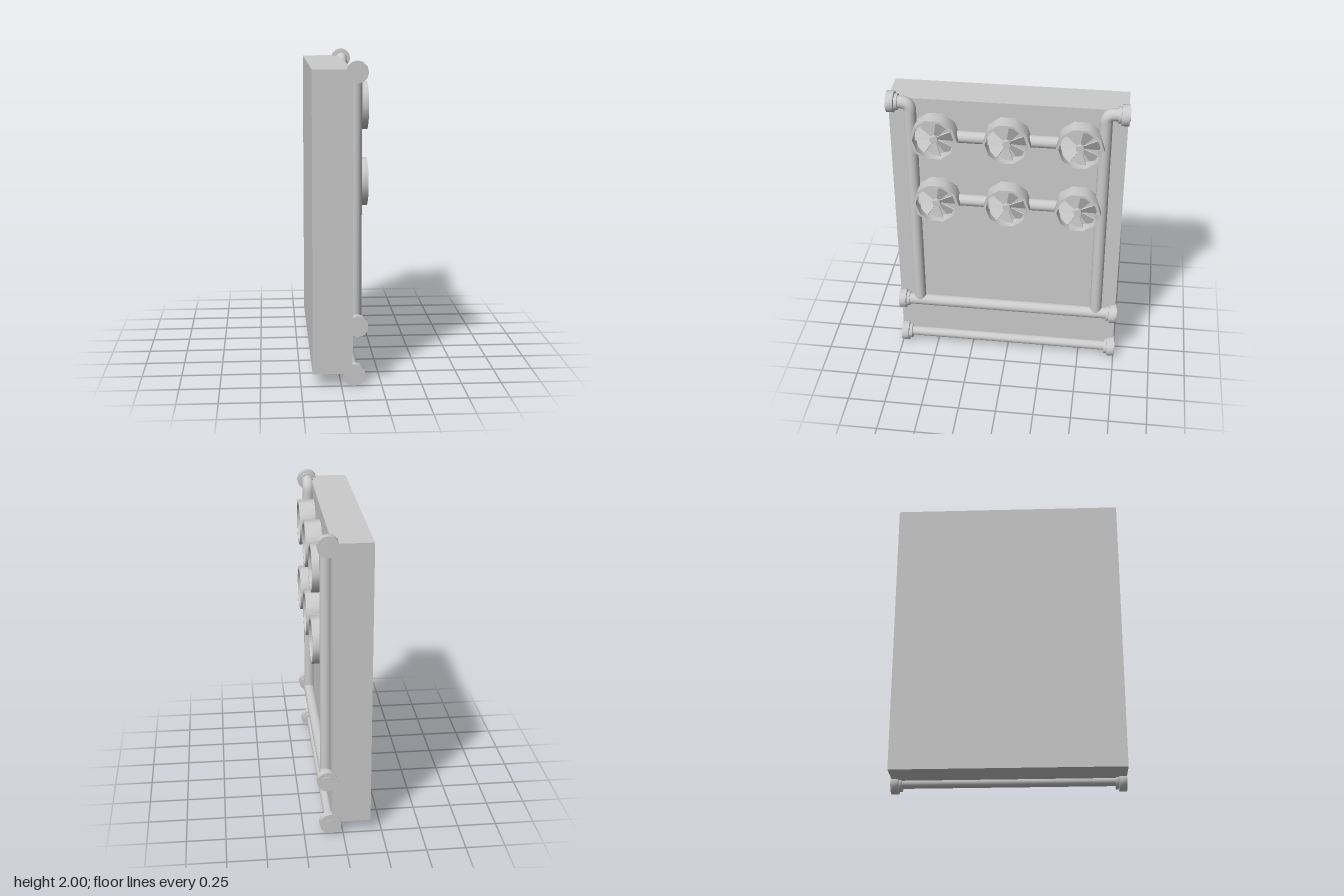
import * as THREE from 'three';
import { toCreasedNormals } from 'three/addons/utils/BufferGeometryUtils.js';

const material = new THREE.MeshStandardMaterial({ color: 0xcccccc });
const bladeMaterial = new THREE.MeshStandardMaterial({ color: 0xcccccc, side: THREE.DoubleSide });

function add(parent, name, geometry, mat = material) {
  const mesh = new THREE.Mesh(geometry, mat);
  mesh.name = name;
  parent.add(mesh);
  return mesh;
}

// straight pipe between two points
function pipe(parent, name, a, b, radius) {
  const mesh = add(parent, name, new THREE.CylinderGeometry(radius, radius, a.distanceTo(b), 14));
  mesh.position.copy(a).add(b).multiplyScalar(0.5);
  mesh.quaternion.setFromUnitVectors(new THREE.Vector3(0, 1, 0), b.clone().sub(a).normalize());
  return mesh;
}

// lathe with sharp profile corners and a smooth round surface
function turned(points, sides) {
  const profile = points.map(([r, h]) => new THREE.Vector2(r, h));
  return toCreasedNormals(new THREE.LatheGeometry(profile, sides), 0.75);
}

// stepped pipe end; side is +1 or -1 along z
function flange(parent, x, y, side, radius = 0.067) {
  const collar = radius * 0.78;
  const mesh = add(parent, 'pipeFlange', turned([
    [0, 0], [collar, 0], [collar, 0.02], [radius, 0.022], [radius, 0.07], [0, 0.07]], 12));
  mesh.rotation.x = side * Math.PI / 2;
  mesh.position.set(x, y, side * 0.682);
}

// fan in an open ten-sided drum, facing +x
function fan(parent, y, z) {
  const group = new THREE.Group();
  group.name = 'fan';
  add(group, 'fanHousing', turned([
    [0.151, 0], [0.151, 0.11], [0.134, 0.11], [0.134, 0.03], [0, 0.03]], 10));
  const hub = add(group, 'fanHub', new THREE.CylinderGeometry(0.026, 0.03, 0.07, 8));
  hub.position.y = 0.062;

  // pitched blade, widening outwards
  const shape = new THREE.Shape();
  shape.moveTo(0.02, -0.012);
  shape.lineTo(0.112, -0.052);
  shape.lineTo(0.127, -0.01);
  shape.lineTo(0.112, 0.045);
  shape.lineTo(0.02, 0.014);
  shape.closePath();
  const blade = new THREE.ExtrudeGeometry(shape, { depth: 0.006, bevelEnabled: false });
  blade.rotateX(-Math.PI / 2 + 0.45);
  const count = 7;
  for (let i = 0; i < count; i++) {
    const mesh = add(group, 'fanBlade', blade, bladeMaterial);
    mesh.position.y = 0.066;
    mesh.rotation.y = (i / count) * Math.PI * 2;
  }
  // drum axis towards +x, corners towards +z and -z
  group.rotation.z = -Math.PI / 2;
  group.position.set(0.065, y, z);
  parent.add(group);
}

export function createModel() {
  const model = new THREE.Group();
  model.name = 'wallPanelWithPipes';
  const v = (x, y, z) => new THREE.Vector3(x, y, z);

  // wall slab
  const wall = add(model, 'wall', new THREE.BoxGeometry(0.247, 1.87, 1.495));
  wall.position.set(-0.0545, 1.015, 0.003);

  // two horizontal pipes at the bottom
  for (const [x, y, r, end] of [[0.098, 0.38, 0.04, 0.067], [0.08, 0.07, 0.033, 0.07]]) {
    pipe(model, 'lowerPipe', v(x, y, 0.745), v(x, y, -0.757), r);
    for (const side of [1, -1]) flange(model, x, y, side, end);
  }

  // vertical pipes bending outwards at the top
  const px = 0.093, top = 1.933, bend = 0.055, r = 0.04;
  for (const side of [1, -1]) {
    const z = side * 0.61;
    pipe(model, 'verticalPipe', v(px, 0.395, z), v(px, top - bend, z), r);
    const curve = new THREE.QuadraticBezierCurve3(
      v(px, top - bend, z), v(px, top, z), v(px, top, z + side * bend));
    add(model, 'pipeElbow', new THREE.TubeGeometry(curve, 8, r, 14));
    pipe(model, 'pipeOutlet', v(px, top, z + side * bend), v(px, top, side > 0 ? 0.745 : -0.757), r);
    flange(model, px, top, side);
  }

  // two rows of three fans joined by short pipes
  for (const y of [1.71, 1.235]) {
    for (const z of [0.455, -0.003, -0.461]) fan(model, y, z);
    for (const z of [0.226, -0.232]) {
      pipe(model, 'fanConnector', v(px, y, z + 0.1), v(px, y, z - 0.1), 0.039);
    }
  }
  return model;
}
